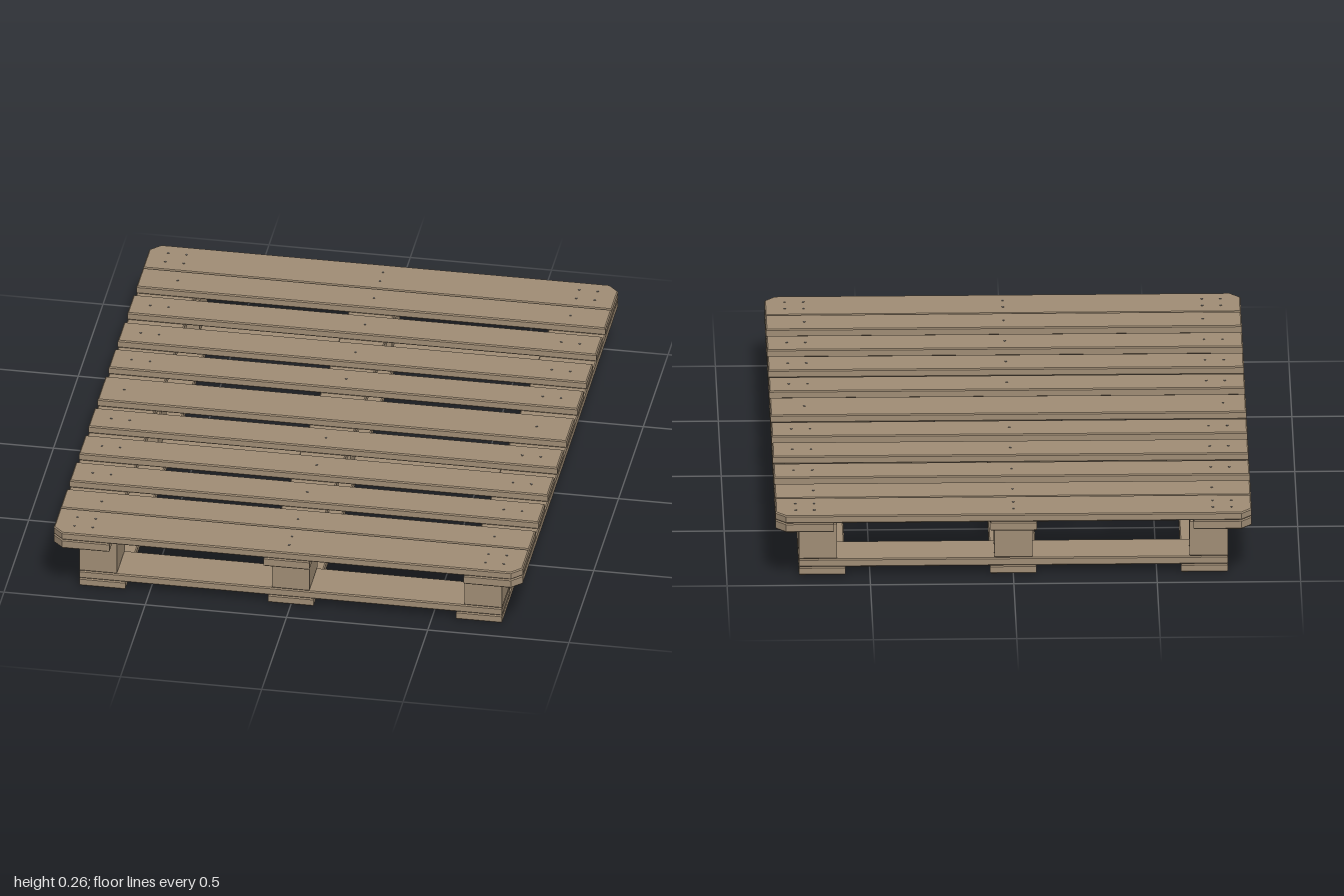
import * as THREE from 'three';

const wood = new THREE.MeshStandardMaterial({ color: 0xa08d75 });
wood.name = 'weathered wood';
const steel = new THREE.MeshStandardMaterial({ color: 0x77716a });
steel.name = 'nail steel';

const BEVEL = 0.004;

// Plank with eased edges; cut(sx, sz) gives the size of the chamfer at each plan corner
function board(name, [x0, x1], [y0, y1], [z0, z1], cut = () => 0) {
  const pts = [];
  const corner = (x, z, sx, sz, xFirst) => {
    const c = cut(sx, sz);
    if (!c) return pts.push(new THREE.Vector2(x, -z));
    const alongX = new THREE.Vector2(x - sx * c, -z);
    const alongZ = new THREE.Vector2(x, -(z - sz * c));
    pts.push(...(xFirst ? [alongX, alongZ] : [alongZ, alongX]));
  };
  corner(x0, z1, -1, 1, false);
  corner(x1, z1, 1, 1, true);
  corner(x1, z0, 1, -1, false);
  corner(x0, z0, -1, -1, true);
  const geo = new THREE.ExtrudeGeometry(new THREE.Shape(pts), {
    depth: y1 - y0 - 2 * BEVEL, bevelEnabled: true, bevelSegments: 1,
    bevelSize: BEVEL, bevelThickness: BEVEL, bevelOffset: -BEVEL,
  });
  geo.rotateX(-Math.PI / 2);
  geo.translate(0, y0 + BEVEL, 0);
  const mesh = new THREE.Mesh(geo, wood);
  mesh.name = name;
  return mesh;
}

export function createModel() {
  const pallet = new THREE.Group();
  pallet.name = 'pallet';
  const group = (name) => {
    const g = new THREE.Group();
    g.name = name;
    pallet.add(g);
    return g;
  };

  // Heights of the layers, from the ground up
  const runnerY = [0.003, 0.033], crossY = [0.033, 0.063], blockY = [0.063, 0.199];
  const stringerY = [0.199, 0.233], deckY = [0.233, 0.262];
  const CHAMFER = 0.036;

  // Three bottom runners along z
  const runners = group('bottomRunners');
  for (const x of [[-0.748, -0.585], [-0.081, 0.081], [0.585, 0.748]])
    runners.add(board('runner', x, runnerY, [-0.915, 0.915]));

  // Three cross boards, each carrying three blocks
  const rows = [[-0.915, -0.752], [-0.082, 0.082], [0.752, 0.915]];
  const columns = [[-0.748, -0.615], [-0.066, 0.066], [0.615, 0.748]];
  const crossBoards = group('crossBoards');
  const blocks = group('blocks');
  for (const z of rows) {
    crossBoards.add(board('crossBoard', [-0.748, 0.748], crossY, z));
    for (const x of columns) blocks.add(board('block', x, blockY, z));
  }

  // Three stringers under the deck, the outer ones with clipped corners
  const stringers = group('stringers');
  for (const [x, side] of [[[-0.83, -0.627], -1], [[-0.081, 0.081], 0], [[0.627, 0.83], 1]])
    stringers.add(board('stringer', x, stringerY, [-1, 1], (sx) => (sx === side ? CHAMFER : 0)));

  // Eleven deck planks: wide at the ends and the middle
  const deck = group('deck');
  const planks = [
    [-1, -0.836], [-0.834, -0.704], [-0.648, -0.521], [-0.458, -0.328], [-0.272, -0.144],
    [-0.082, 0.08], [0.137, 0.266], [0.327, 0.455], [0.513, 0.643], [0.7, 0.83], [0.832, 1],
  ];
  planks.forEach((z, i) => {
    const end = i === 0 ? -1 : i === 10 ? 1 : 0;
    deck.add(board('deckPlank', [-0.83, 0.83], deckY, z, (sx, sz) => (sz === end ? CHAMFER : 0)));
  });

  // Nail heads, just proud of the wood
  const nails = group('nails');
  const nailGeo = new THREE.CylinderGeometry(0.004, 0.004, 0.004, 8);
  const nail = (x, y, z) => {
    const m = new THREE.Mesh(nailGeo, steel);
    m.name = 'nail';
    m.position.set(x, y, z);
    nails.add(m);
  };
  planks.forEach(([z0, z1], i) => {
    const mid = (z0 + z1) / 2;
    const fromEnd = Math.min(i, 10 - i);
    const xs = fromEnd === 5 ? [-0.75, 0.71]
      : fromEnd === 1 ? [-0.695, 0, 0.695] : [-0.76, -0.695, 0, 0.695, 0.76];
    const zs = fromEnd === 0 ? [mid - 0.03, mid + 0.03] : [mid];
    for (const x of xs) for (const z of zs) nail(x, 0.262, z);
  });
  for (const [x0, x1] of columns)
    for (const [z0, z1] of rows)
      for (const s of [-1, 1]) nail((x0 + x1) / 2 + s * 0.03, 0.002, (z0 + z1) / 2 + s * 0.03);

  return pallet;
}
